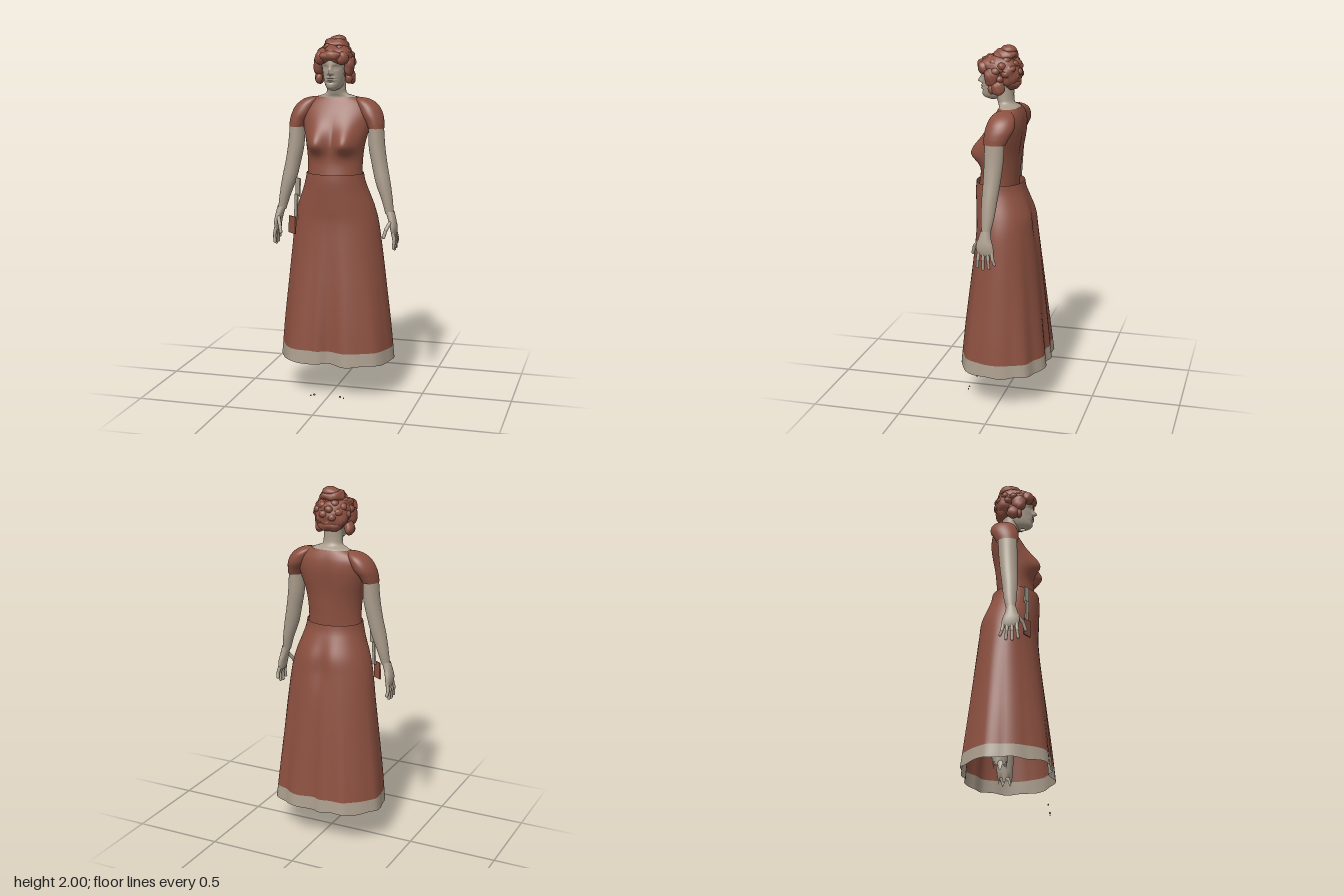
import * as THREE from 'three';
import { mergeVertices, mergeGeometries } from 'three/addons/utils/BufferGeometryUtils.js';

const cloth = new THREE.MeshStandardMaterial({ color: 0x8c5040, side: THREE.DoubleSide });
cloth.name = 'russet';
const stone = new THREE.MeshStandardMaterial({ color: 0xaa9d8c, side: THREE.DoubleSide });
stone.name = 'stone';

const gauss = (v, c, w) => Math.exp(-(((v - c) / w) ** 2));

// Smoothly interpolated row at height y
function rowAt(rows, y) {
  let i = 0;
  while (i < rows.length - 2 && y > rows[i + 1][0]) i++;
  const a = rows[i], b = rows[i + 1], p = rows[Math.max(i - 1, 0)], q = rows[Math.min(i + 2, rows.length - 1)];
  const h = b[0] - a[0], t = (y - a[0]) / h;
  return a.map((v, k) => {
    const m0 = ((b[k] - p[k]) / (b[0] - p[0])) * h, m1 = ((q[k] - v) / (q[0] - a[0])) * h;
    return (2 * t ** 3 - 3 * t * t + 1) * v + (t ** 3 - 2 * t * t + t) * m0 + (3 * t * t - 2 * t ** 3) * b[k] + (t ** 3 - t * t) * m1;
  });
}

// Loft of horizontal rings; each row is [y, centreX, halfWidth, centreZ, frontZ, backZ]
function loft(rows, { n = 40, steps = 30, from = rows[0][0], to = rows[rows.length - 1][0], shape } = {}) {
  const pos = [], index = [];
  for (let i = 0; i <= steps; i++) {
    const y = from + ((to - from) * i) / steps;
    const [, cx, rx, cz, zf, zb] = rowAt(rows, y);
    for (let j = 0; j < n; j++) {
      const t = (j / n) * Math.PI * 2, s = Math.sin(t);
      const p = new THREE.Vector3(cx + rx * Math.cos(t), y, cz + (s > 0 ? (zf - cz) * s : (cz - zb) * s));
      if (shape) shape(p, t, s);
      pos.push(p.x, p.y, p.z);
      if (i < steps) {
        const a = i * n + j, b = i * n + ((j + 1) % n);
        index.push(a, a + n, b, b, a + n, b + n);
      }
    }
  }
  const g = new THREE.BufferGeometry();
  g.setAttribute('position', new THREE.Float32BufferAttribute(pos, 3));
  g.setIndex(index);
  g.computeVertexNormals();
  return g;
}

// Lumpy ellipsoid for hair
function clump([x, y, z, rx, ry, rz], amp = 0.06) {
  let g = new THREE.SphereGeometry(1, 28, 20);
  g.deleteAttribute('uv');
  g.deleteAttribute('normal');
  g = mergeVertices(g);
  const p = g.attributes.position, v = new THREE.Vector3();
  for (let i = 0; i < p.count; i++) {
    v.fromBufferAttribute(p, i);
    const w = v.clone().multiply(new THREE.Vector3(rx, ry, rz)).add(new THREE.Vector3(x, y, z));
    const k = 1 + amp * (Math.sin(w.x * 95 + w.y * 60) + Math.sin(w.y * 110 - w.z * 70) * Math.cos(w.z * 90 + w.x * 40));
    p.setXYZ(i, x + v.x * rx * k, y + v.y * ry * k, z + v.z * rz * k);
  }
  g.computeVertexNormals();
  return g;
}

// Rounded rod between two points
function rod(a, b, r) {
  const A = new THREE.Vector3(...a), d = new THREE.Vector3(...b).sub(A);
  const g = new THREE.CapsuleGeometry(r, d.length(), 5, 12);
  g.applyQuaternion(new THREE.Quaternion().setFromUnitVectors(new THREE.Vector3(0, 1, 0), d.clone().normalize()));
  return g.translate(A.x + d.x / 2, A.y + d.y / 2, A.z + d.z / 2);
}

// Wavy outline of the hem as [x, z], turned into [angle, scale] against an ellipse
const hem = [[0.33, -0.02], [0.31, 0.1], [0.27, 0.18], [0.2, 0.215], [0.1, 0.25], [0.03, 0.218], [0, 0.212], [-0.06, 0.24],
  [-0.1, 0.23], [-0.18, 0.228], [-0.22, 0.21], [-0.28, 0.12], [-0.32, 0], [-0.325, -0.09], [-0.3, -0.125], [-0.22, -0.205],
  [-0.18, -0.235], [-0.1, -0.235], [-0.035, -0.25], [0, -0.23], [0.03, -0.23], [0.1, -0.25], [0.14, -0.243], [0.2, -0.2], [0.27, -0.175], [0.3, -0.1]]
  .map(([x, z]) => [(Math.atan2(z / 0.25, x / 0.33) + Math.PI * 2) % (Math.PI * 2), Math.hypot(x / 0.33, z / 0.25)])
  .sort((a, b) => a[0] - b[0]);
function hemScale(t) {
  const last = hem[hem.length - 1], list = [[last[0] - Math.PI * 2, last[1]], ...hem, [hem[0][0] + Math.PI * 2, hem[0][1]]];
  const i = list.findIndex((e, k) => k > 0 && e[0] >= t);
  const [a, b] = [list[i - 1], list[i]];
  return THREE.MathUtils.lerp(a[1], b[1], (t - a[0]) / (b[0] - a[0]));
}

export function createModel() {
  const model = new THREE.Group();
  const add = (name, geometry, material) => {
    const m = new THREE.Mesh(geometry, material);
    m.name = name;
    model.add(m);
  };

  // Skirt with folds that fade towards the waist, and a pale hem band
  const skirt = [[0.195, 0, 0.33, 0, 0.25, -0.25], [0.4, 0, 0.31, 0, 0.232, -0.228], [0.6, 0, 0.286, 0, 0.21, -0.207],
    [0.8, 0, 0.262, 0, 0.187, -0.185], [0.98, 0, 0.238, 0.01, 0.17, -0.165], [1.07, 0, 0.215, 0.02, 0.172, -0.155],
    [1.16, 0, 0.182, 0.03, 0.176, -0.12], [1.21, 0, 0.167, 0.04, 0.177, -0.1], [1.25, 0, 0.16, 0.04, 0.174, -0.092]];
  const folds = (p, t, s) => {
    const k = 1 + (hemScale(t) - 1) * Math.max(0, 1 - (p.y - 0.2) / 0.85);
    p.x *= k;
    p.z *= k;
    if (s < 0) p.z += 0.02 * gauss(p.x, 0, 0.045) * gauss(p.y, 1.03, 0.13);
    if (p.y < 0.2) p.y += 0.004 * Math.sin(t * 9);
  };
  add('skirt', loft(skirt, { n: 96, steps: 50, from: 0.268, shape: folds }), cloth);
  add('hemBand', loft(skirt, { n: 96, steps: 6, to: 0.268, shape: folds }), stone);

  // Bodice with bust
  const bodice = [[1.22, 0, 0.155, 0.04, 0.16, -0.06], [1.3, 0, 0.154, 0.04, 0.148, -0.066], [1.4, 0, 0.163, 0.03, 0.14, -0.077],
    [1.5, 0, 0.187, 0.01, 0.118, -0.092], [1.56, 0, 0.2, 0, 0.098, -0.097], [1.61, 0, 0.193, -0.01, 0.073, -0.092],
    [1.645, 0, 0.158, -0.01, 0.052, -0.08], [1.664, 0, 0.115, -0.01, 0.042, -0.07]];
  const bust = (p, t, s) => {
    if (s > 0) p.z += 0.066 * Math.min(1, s * 2) * Math.max(gauss(p.x, 0.085, 0.062), gauss(p.x, -0.085, 0.062)) * gauss(p.y, 1.415, p.y > 1.415 ? 0.09 : 0.055);
    else p.z += 0.012 * gauss(p.x, 0, 0.04) * gauss(p.y, 1.45, 0.15);
  };
  add('bodice', loft(bodice, { n: 96, steps: 44, shape: bust }), cloth);

  // Neck and head with modelled features
  add('neck', loft([[1.652, 0, 0.122, -0.01, 0.046, -0.074], [1.668, 0, 0.1, -0.005, 0.045, -0.062], [1.682, 0, 0.062, 0.01, 0.052, -0.042],
    [1.71, 0, 0.053, 0.015, 0.062, -0.033], [1.79, 0, 0.052, 0.02, 0.08, -0.035]]), stone);
  const head = [[1.702, 0, 0.012, 0.085, 0.1, 0.07], [1.714, 0, 0.034, 0.06, 0.134, 0.03], [1.735, 0, 0.048, 0.05, 0.144, 0],
    [1.77, 0, 0.059, 0.04, 0.143, -0.03], [1.81, 0, 0.066, 0.04, 0.143, -0.05], [1.85, 0, 0.069, 0.04, 0.147, -0.06],
    [1.89, 0, 0.068, 0.04, 0.137, -0.055], [1.93, 0, 0.045, 0.04, 0.1, -0.02]];
  const features = (p, t, s) => {
    if (s < 0.3) return;
    const { x, y } = p, ax = Math.abs(x);
    p.z += 0.026 * gauss(x, 0, 0.011) * gauss(y, 1.799, y > 1.799 ? 0.026 : 0.009)
      + 0.007 * gauss(ax, 0.013, 0.007) * gauss(y, 1.796, 0.008)
      - 0.011 * gauss(ax, 0.029, 0.015) * gauss(y, 1.828, 0.011)
      + 0.006 * gauss(ax, 0.029, 0.009) * gauss(y, 1.827, 0.006)
      + 0.01 * gauss(x, 0, 0.021) * (gauss(y, 1.774, 0.005) + gauss(y, 1.761, 0.006))
      - 0.004 * gauss(x, 0, 0.022) * gauss(y, 1.768, 0.003)
      - 0.005 * gauss(x, 0, 0.025) * gauss(y, 1.748, 0.006);
  };
  add('head', loft(head, { n: 120, steps: 90, shape: features }), stone);

  // Curly hair with fringe and bun
  const hair = [[0, 1.887, 0.042, 0.1, 0.062, 0.115], [0, 1.845, -0.012, 0.096, 0.085, 0.064], [0, 1.795, -0.028, 0.072, 0.036, 0.042],
    [0, 1.892, 0.138, 0.06, 0.027, 0.032]];
  for (const s of [-1, 1]) {
    hair.push([s * 0.06, 1.878, 0.117, 0.034, 0.036, 0.036], [s * 0.087, 1.832, 0.07, 0.026, 0.05, 0.042],
      [s * 0.087, 1.776, 0.035, 0.026, 0.04, 0.038], [s * 0.083, 1.768, 0.07, 0.02, 0.028, 0.02]);
  }
  for (let i = 0; i < 44; i++) {
    const u = 0.9 - (i / 43) * 1.7, a = i * 2.39996, r = Math.sqrt(1 - u * u);
    const x = 0.09 * r * Math.cos(a), y = 1.86 + 0.085 * u, z = 0.035 + 0.1 * r * Math.sin(a);
    if (y > 1.885 || z < 0.06) hair.push([x, y, z, 0.024, 0.021, 0.024]);
  }
  add('hair', mergeGeometries(hair.map((h) => clump(h))), cloth);
  add('bun', mergeGeometries([clump([0, 1.948, 0.012, 0.072, 0.036, 0.066]), clump([0.005, 1.972, -0.005, 0.048, 0.026, 0.044], 0.04)]), cloth);

  for (const s of [1, -1]) {
    const side = s > 0 ? 'left' : 'right';
    const mir = (rows) => rows.map(([y, x, ...r]) => [y, s * x, ...r]);
    // Short sleeve and shoulder
    add(side + 'Sleeve', loft(mir([[1.497, 0.226, 0.043, 0.015, 0.076, -0.044], [1.53, 0.217, 0.05, 0.01, 0.077, -0.06],
      [1.57, 0.198, 0.06, 0, 0.075, -0.08], [1.61, 0.178, 0.06, -0.005, 0.064, -0.082], [1.64, 0.156, 0.05, -0.01, 0.048, -0.07],
      [1.657, 0.135, 0.034, -0.01, 0.025, -0.045], [1.664, 0.12, 0.003, -0.01, -0.007, -0.013]])), cloth);
    // Bare arm
    add(side + 'Arm', loft(mir([[1.03, 0.31, 0.023, 0.043, 0.067, 0.018], [1.1, 0.296, 0.03, 0.037, 0.072, 0.003], [1.2, 0.27, 0.041, 0.033, 0.076, -0.01],
      [1.3, 0.248, 0.043, 0.025, 0.073, -0.022], [1.4, 0.231, 0.045, 0.02, 0.072, -0.032], [1.53, 0.225, 0.04, 0.015, 0.07, -0.038]])), stone);
    // Hand: palm, fingers and thumb
    const parts = [loft(mir([[0.91, 0.335, 0.011, 0.036, 0.07, 0.002], [0.925, 0.336, 0.015, 0.038, 0.084, -0.006], [0.96, 0.334, 0.019, 0.042, 0.092, -0.003],
      [1.0, 0.325, 0.022, 0.044, 0.082, 0.01], [1.045, 0.312, 0.025, 0.043, 0.07, 0.017]]), { n: 24, steps: 16 }).toNonIndexed()];
    const bend = (a, b, c, r) => [[a, b], [b, c]].forEach(([p, q], k) => {
      const g = rod([s * p[0], p[1], p[2]], [s * q[0], q[1], q[2]], r - k * 0.0012).toNonIndexed();
      g.deleteAttribute('uv');
      parts.push(g);
    });
    [[0.075, 0.083, 0.848], [0.05, 0.052, 0.837], [0.026, 0.019, 0.842], [0.006, -0.012, 0.866]].forEach(([z0, z1, end]) =>
      bend([0.337, 0.93, z0], [0.345, 0.89, (z0 + z1) / 2], [0.342, end, z1], 0.0098));
    bend([0.32, 0.985, 0.08], [0.304, 0.95, 0.108], [0.295, 0.912, 0.12], 0.0105);
    add(side + 'Hand', mergeGeometries(parts), stone);

    // Ragged lower leg inside the skirt, and toe tips
    add(side + 'Leg', loft([[0.19, s * 0.145, 0.035, -0.03, 0.005, -0.065], [0.35, s * 0.135, 0.052, -0.03, 0.02, -0.085], [0.6, s * 0.12, 0.07, -0.01, 0.06, -0.08]], {
      n: 24, steps: 12, shape: (p, t) => { if (p.y < 0.2) p.y += 0.03 * (1 + Math.sin(t * 5 + s)); } }), stone);
    [[0.075, 0.007], [0.095, 0.004]].forEach(([x, r]) =>
      add(side + 'ToeTip', new THREE.SphereGeometry(1, 10, 8).scale(r, 0.005, r * 0.7).translate(s * x, x < 0.08 ? 0.012 : 0.005, 0.214), stone));
  }

  // Small bag hanging from a strap at the right hip
  const plate = (name, w, h, x, y, z, rz, mat) => {
    const g = new THREE.BoxGeometry(w, h, 0.008).rotateZ(rz).rotateY(-0.6).translate(x, y, z);
    add(name, g, mat);
  };
  plate('bagStrap', 0.036, 0.1, -0.192, 1.17, 0.118, -0.05, stone);
  plate('bagStrapLower', 0.024, 0.14, -0.203, 1.06, 0.12, -0.06, stone);
  plate('bag', 0.058, 0.095, -0.225, 0.957, 0.122, -0.04, cloth);
  return model;
}
